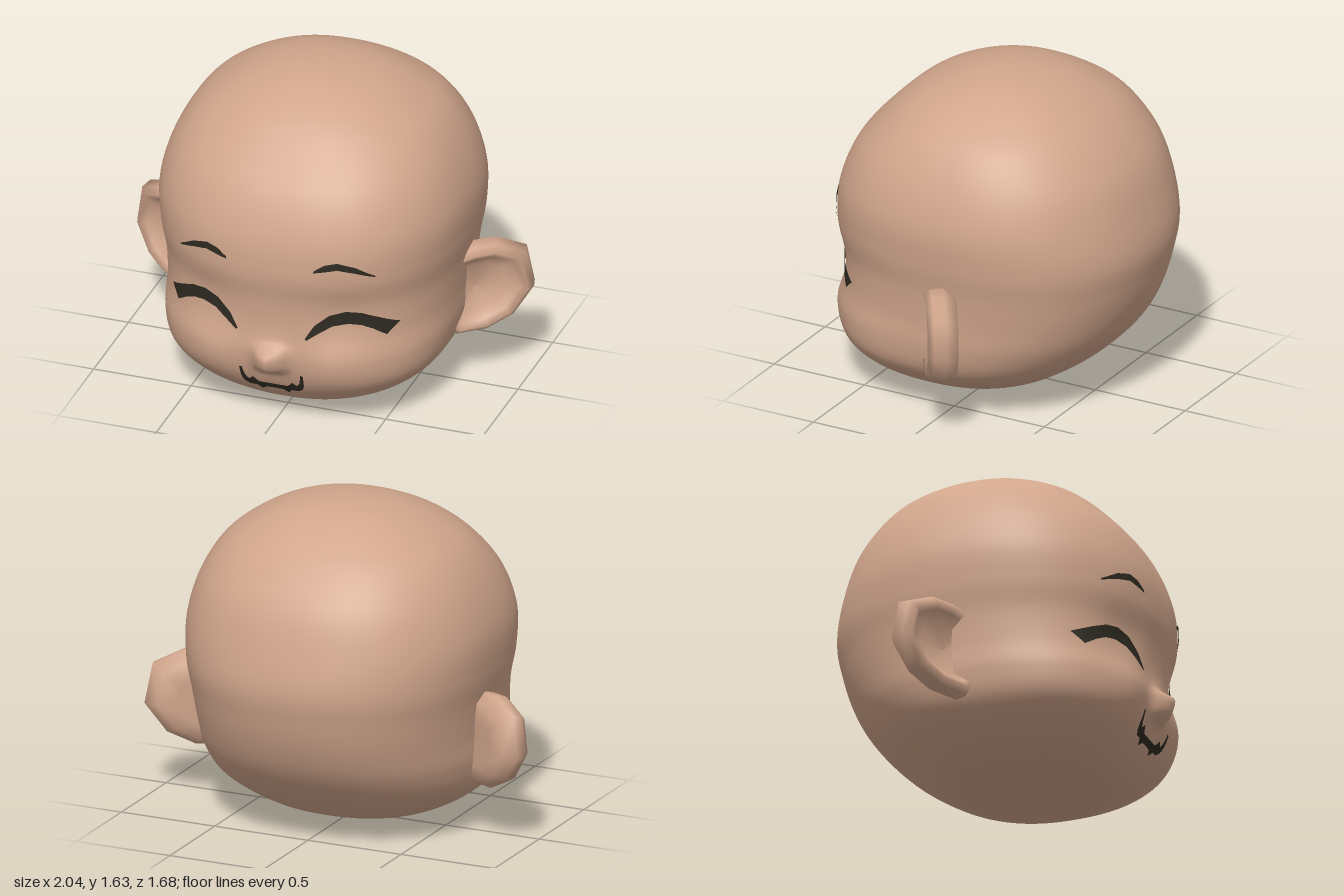
import * as THREE from 'three';

const skin = new THREE.MeshStandardMaterial({ color: 0xd0a58b });
skin.name = 'skin';
const ink = new THREE.MeshStandardMaterial({ color: 0x2e2a22, side: THREE.DoubleSide });
ink.name = 'ink';

// Skull cross-sections from chin to crown: height, half width, front z, back z, front squareness
const SECTIONS = [
  [0, 0, 0.15, 0.15, 2], [0.005, 0.16, 0.33, -0.02, 2], [0.025, 0.29, 0.44, -0.14, 2.1],
  [0.07, 0.44, 0.56, -0.3, 2.3], [0.15, 0.585, 0.66, -0.44, 2.5], [0.25, 0.68, 0.72, -0.57, 2.7],
  [0.38, 0.715, 0.745, -0.685, 2.7], [0.52, 0.72, 0.745, -0.76, 2.5], [0.68, 0.735, 0.755, -0.81, 2.4],
  [0.84, 0.762, 0.78, -0.835, 2.4], [1.03, 0.768, 0.76, -0.8, 2.4], [1.23, 0.71, 0.675, -0.73, 2.4],
  [1.4, 0.605, 0.53, -0.6, 2.3], [1.51, 0.46, 0.4, -0.46, 2.2], [1.585, 0.3, 0.24, -0.31, 2.1],
  [1.62, 0.14, 0.1, -0.17, 2], [1.63, 0, -0.03, -0.03, 2],
];
const spline = (f) => new THREE.CatmullRomCurve3(SECTIONS.map(f), false, 'catmullrom', 0.5);
const sizeCurve = spline((s) => new THREE.Vector3(s[0], s[1], s[4]));
const depthCurve = spline((s) => new THREE.Vector3(s[2], s[3], 0));

function section(t) {
  const a = sizeCurve.getPoint(t), b = depthCurve.getPoint(t);
  const c = (b.x + b.y) / 2;
  return { y: a.y === undefined ? 0 : a.x, w: Math.max(a.y, 0), n: a.z, c, d: Math.max(b.x - c, 0) };
}

// Nose, cheeks and eye hollows, as a push along z
function relief(x, y) {
  const ax = Math.abs(x);
  const blob = (cx, cy, r) => Math.exp(-((ax - cx) ** 2 + (y - cy) ** 2) / (r * r));
  const nose = Math.exp(-((ax / 0.07) ** 2.6) - (Math.abs(y - 0.372) / 0.07) ** 4);
  return 0.075 * nose + 0.025 * blob(0, 0.41, 0.1)
    + 0.033 * blob(0.32, 0.35, 0.17) - 0.022 * blob(0.36, 0.6, 0.15);
}

// Depth of the face at a given x and y
function faceZ(x, y) {
  let lo = 0, hi = 1;
  for (let i = 0; i < 30; i++) {
    const mid = (lo + hi) / 2;
    if (section(mid).y < y) lo = mid; else hi = mid;
  }
  const s = section(lo);
  const k = Math.max(0, 1 - Math.abs(x / s.w) ** s.n);
  return s.c + s.d * k ** (1 / s.n) + relief(x, y) * k;
}

// Smooth surface through rows of points
function surface(rows, closed, flip) {
  const m = rows[0].length, index = [];
  for (let i = 0; i < rows.length - 1; i++) {
    for (let j = 0; j < (closed ? m : m - 1); j++) {
      const k = (j + 1) % m;
      const a = i * m + j, b = i * m + k, c = b + m, d = a + m;
      index.push(...(flip ? [a, c, b, a, d, c] : [a, b, c, a, c, d]));
    }
  }
  const g = new THREE.BufferGeometry();
  g.setAttribute('position', new THREE.Float32BufferAttribute(rows.flat(2), 3));
  g.setIndex(index);
  g.computeVertexNormals();
  return g;
}

function headGeometry() {
  const rows = [], ROWS = 128, SIDES = 160;
  const pw = (v, e) => Math.sign(v) * Math.abs(v) ** e;
  for (let i = 0; i <= ROWS; i++) {
    const s = section(i / ROWS), row = [];
    for (let j = 0; j < SIDES; j++) {
      // points crowd toward the face
      const p = (j / SIDES) * 2 * Math.PI, a = p - 0.35 * Math.sin(p);
      const front = Math.cos(a) > 0, n = front ? s.n : 2.25;
      const u = pw(Math.sin(a), 2 / n), v = pw(Math.cos(a), 2 / n);
      const x = s.w * u;
      const push = front ? relief(x, s.y) * Math.max(0, 1 - Math.abs(u) ** n) : 0;
      row.push([x, s.y, s.c + s.d * v + push]);
    }
    rows.push(row);
  }
  return surface(rows, true, false);
}

// Ear: outline in its own plane, swept from the back over the rim into the bowl
function earGeometry(side) {
  const outline = [[-0.14, 0.6], [-0.14, 0.35], [-0.06, 0.25], [0.1, 0.262], [0.24, 0.33],
    [0.35, 0.48], [0.31, 0.68], [0.155, 0.745], [0.03, 0.735], [-0.1, 0.7]];
  const rings = [[0, -0.085], [0.5, -0.09], [0.82, -0.085], [1, -0.025], [0.94, 0.035],
    [0.82, 0.065], [0.7, 0.04], [0.5, 0], [0, -0.015]];
  const cu = 0.05, cy = 0.49;
  const rows = rings.map(([s, w]) => outline.map(([pu, py]) => {
    const u = cu + (pu - cu) * s, y = cy + (py - cy) * s;
    return [side * (0.72 + 0.84 * u + 0.545 * w), y, -0.03 - 0.545 * u + 0.84 * w];
  }));
  return surface(rows, true, side < 0);
}

// Painted strip between two edges, laid on the face
function stripGeometry(lower, upper, side) {
  const SUB = 5, rows = [];
  const along = (pts, t) => {
    const i = Math.min(Math.floor(t), pts.length - 2), f = t - i;
    return [0, 1].map((k) => pts[i][k] + (pts[i + 1][k] - pts[i][k]) * f);
  };
  for (let r = 0; r <= 3; r++) {
    const row = [];
    for (let q = 0; q <= (lower.length - 1) * SUB; q++) {
      const a = along(lower, q / SUB), b = along(upper, q / SUB), f = r / 3;
      const x = a[0] + (b[0] - a[0]) * f, y = a[1] + (b[1] - a[1]) * f;
      row.push([side * x, y, faceZ(x, y) + 0.007]);
    }
    rows.push(row);
  }
  return surface(rows, false, side < 0);
}

const STRIPS = {
  ClosedEye: [
    [[0.18, 0.5], [0.235, 0.54], [0.3, 0.58], [0.37, 0.592], [0.43, 0.583], [0.48, 0.558], [0.535, 0.517]],
    [[0.172, 0.508], [0.215, 0.58], [0.285, 0.638], [0.36, 0.66], [0.43, 0.65], [0.5, 0.618], [0.583, 0.572]],
  ],
  Eyebrow: [
    [[0.222, 0.89], [0.28, 0.9], [0.335, 0.91], [0.41, 0.892], [0.5, 0.86]],
    [[0.225, 0.902], [0.275, 0.935], [0.335, 0.947], [0.415, 0.922], [0.5, 0.867]],
  ],
  MouthHalf: [
    [[0, 0.182], [0.045, 0.18], [0.065, 0.16], [0.09, 0.185], [0.125, 0.185], [0.15, 0.205], [0.16, 0.235], [0.164, 0.298]],
    [[0, 0.213], [0.07, 0.213], [0.085, 0.225], [0.1, 0.245], [0.122, 0.225], [0.137, 0.243], [0.147, 0.28], [0.15, 0.302]],
  ],
};

export function createModel() {
  const group = new THREE.Group();
  group.name = 'head';
  const add = (geometry, material, name) => {
    const mesh = new THREE.Mesh(geometry, material);
    mesh.name = name;
    group.add(mesh);
  };
  add(headGeometry(), skin, 'skull');
  for (const [side, label] of [[1, 'left'], [-1, 'right']]) {
    add(earGeometry(side), skin, label + 'Ear');
    for (const [name, [lower, upper]] of Object.entries(STRIPS)) {
      add(stripGeometry(lower, upper, side), ink, label + name);
    }
  }
  return group;
}
